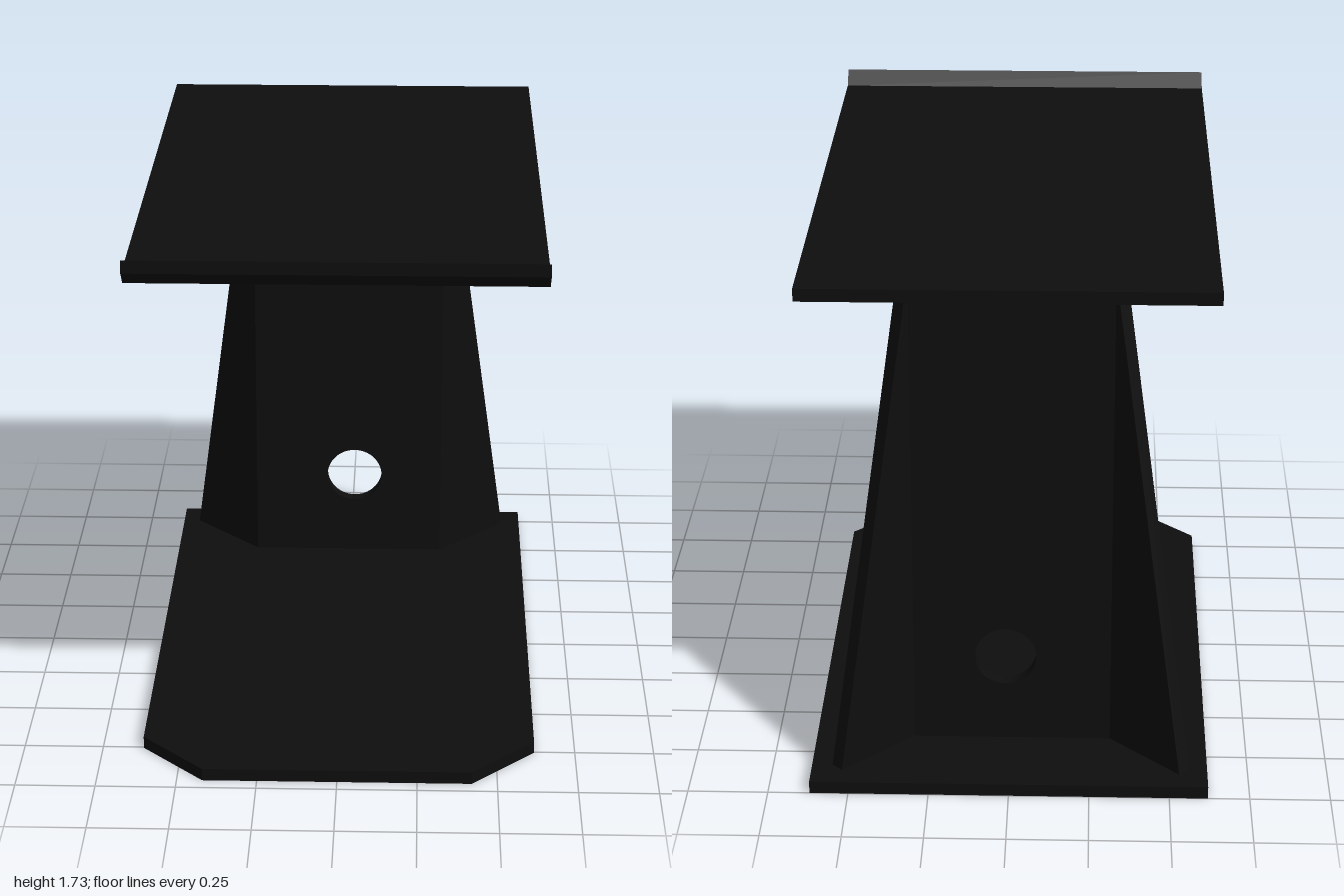
import * as THREE from 'three';

const material = new THREE.MeshStandardMaterial({ color: 0x0e0e0e });
const HALF = 0.62;    // half width of base and top
const T = 0.045;      // sheet thickness of the column
const BASE_Y = 0.04, TOP_Y = 1.645, FRONT_Z = -0.665, FOLD_X = 0.33;

const shapeOf = (pts) => new THREE.Shape(pts.map(([x, y]) => new THREE.Vector2(x, y)));

function plate(name, shape, depth) {
  const geometry = new THREE.ExtrudeGeometry(shape, { depth, bevelEnabled: false, curveSegments: 32 });
  const mesh = new THREE.Mesh(geometry, material);
  mesh.name = name;
  return mesh;
}

// Turns a (z, y) side profile into a sheet running along x, centred on x = 0
function sideProfile(name, pts, width) {
  const mesh = plate(name, shapeOf(pts.map(([z, y]) => [-z, y])), width);
  mesh.geometry.translate(0, 0, -width / 2).rotateY(Math.PI / 2);
  return mesh;
}

export function createModel() {
  const model = new THREE.Group();
  model.name = 'stand';

  // Base plate with cut front corners
  const c = 0.2, f = 0.955;
  const base = plate('basePlate', shapeOf([
    [-HALF, 1], [HALF, 1], [HALF, c - f], [HALF - c, -f], [c - HALF, -f], [-HALF, c - f],
  ]), BASE_Y);
  base.geometry.rotateX(-Math.PI / 2);
  model.add(base);

  // Top plate with a lip bent up along its front edge
  model.add(sideProfile('topPlate', [
    [-1, TOP_Y], [0.955, TOP_Y], [1, 1.69], [1, 1.73], [0.955, 1.685], [-1, 1.685],
  ], HALF * 2));

  // Column: flat web with a cable hole, and a tapered wing folded back on each side
  const column = new THREE.Group();
  column.name = 'column';
  column.position.set(-0.004, 0, FRONT_Z);
  const webShape = shapeOf([[-FOLD_X, BASE_Y], [FOLD_X, BASE_Y], [FOLD_X, TOP_Y], [-FOLD_X, TOP_Y]]);
  webShape.holes.push(new THREE.Path().absarc(0.021, 0.333, 0.097, 0, Math.PI * 2, true));
  const web = plate('columnWeb', webShape, T);
  web.geometry.translate(0, 0, -T);
  column.add(web);

  for (const s of [1, -1]) {
    const wing = plate(s > 0 ? 'leftWing' : 'rightWing', shapeOf([
      [0, BASE_Y], [s * 0.325, BASE_Y], [s * 0.014, TOP_Y], [0, TOP_Y],
    ]), T);
    wing.geometry.translate(0, 0, -T);
    wing.rotation.y = s * Math.PI / 4;
    wing.position.x = s * FOLD_X;
    column.add(wing);
  }
  model.add(column);

  // Triangular gusset between column and top plate
  model.add(sideProfile('gusset', [[FRONT_Z, 1.235], [0.16, TOP_Y], [FRONT_Z, TOP_Y]], 0.04));

  return model;
}
